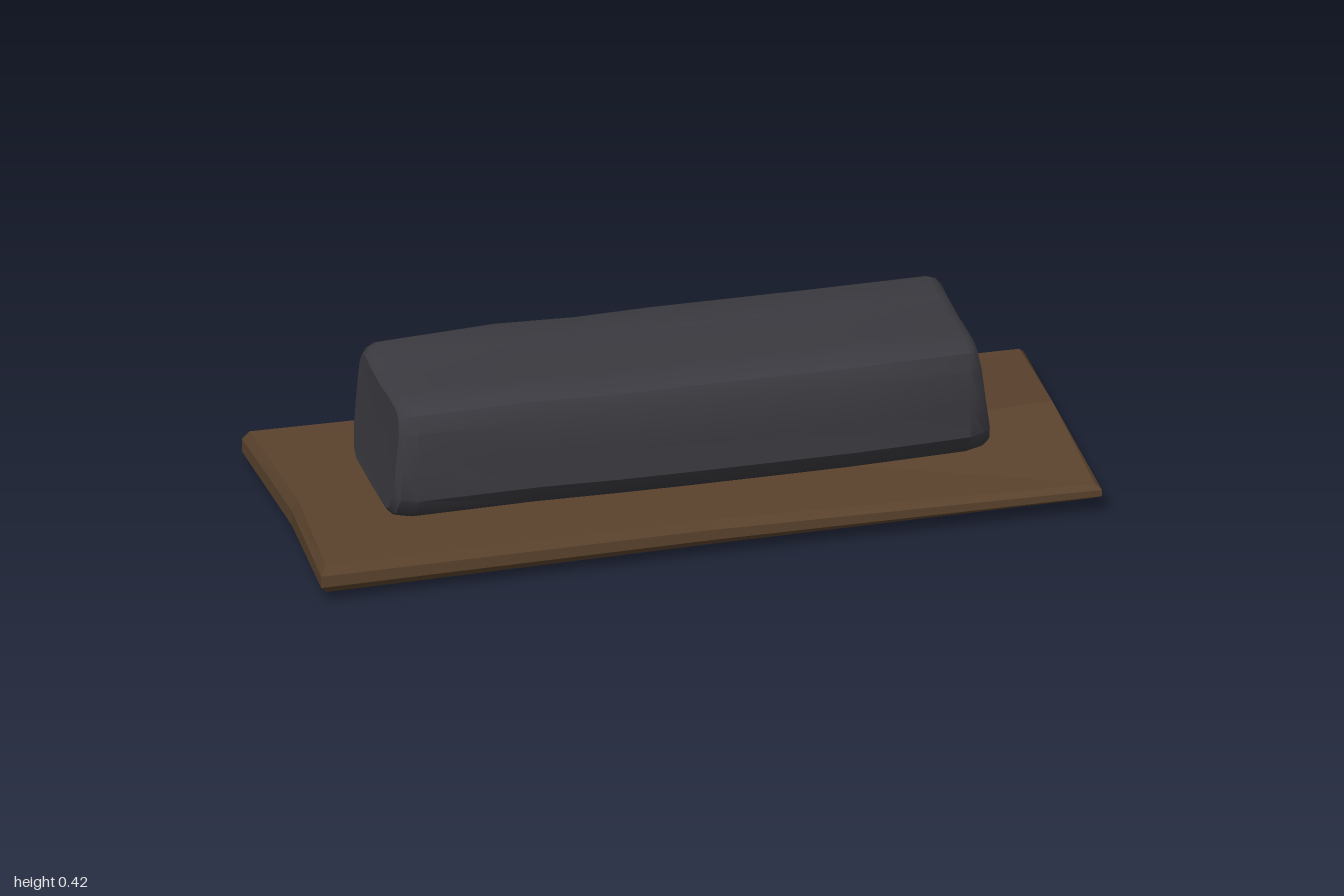
import * as THREE from 'three';
import { toCreasedNormals } from 'three/addons/utils/BufferGeometryUtils.js';

// Joins closed loops of [x, y, z] points into a solid, with a fan over each end
function loft(loops, startCentre, endCentre) {
  const pos = [];
  const tri = (a, b, c) => pos.push(...a, ...b, ...c);
  const n = loops[0].length, last = loops.length - 1;
  for (let i = 0; i < n; i++) {
    const j = (i + 1) % n;
    for (let k = 0; k < last; k++) {
      const a = loops[k], b = loops[k + 1];
      tri(a[i], a[j], b[j]);
      tri(a[i], b[j], b[i]);
    }
    tri(startCentre, loops[0][j], loops[0][i]);
    tri(endCentre, loops[last][i], loops[last][j]);
  }
  const geo = new THREE.BufferGeometry();
  geo.setAttribute('position', new THREE.Float32BufferAttribute(pos, 3));
  geo.computeVertexNormals();
  return geo;
}

export function createModel() {
  const group = new THREE.Group();
  const wood = new THREE.MeshStandardMaterial({ color: 0x5a422d, flatShading: true });
  wood.name = 'brown wood';
  const stone = new THREE.MeshStandardMaterial({ color: 0x3a3a40 });
  stone.name = 'dark stone';

  // Warped plank: outline points as [x, z, bottom height, top height]
  const rim = [
    [-1, 0.385, 0.03, 0.108], [0, 0.38, 0.035, 0.105], [0.99, 0.395, 0.045, 0.088],
    [0.98, 0, 0.03, 0.13], [0.995, -0.395, 0.028, 0.085], [0, -0.375, 0.035, 0.105],
    [-1, -0.395, 0.02, 0.108], [-0.975, 0, 0.003, 0.104],
  ];
  // Level up the edge and inset from the outline
  const levels = [[0, 0.02], [0.3, 0], [0.7, 0], [1, 0.015]];
  const plankLoops = levels.map(([t, inset]) => rim.map(([x, z, lo, hi]) => [
    x - Math.sign(x) * inset, lo + (hi - lo) * t, z - Math.sign(z) * inset,
  ]));
  const plank = new THREE.Mesh(loft(plankLoops, [0, 0.033, 0], [0, 0.11, 0]), wood);
  plank.name = 'basePlank';
  group.add(plank);

  // Worn block: cross-section as [z, y], from the top back round to the front
  const section = [
    [-0.19, 0.42], [-0.1, 0.413], [0, 0.412], [0.1, 0.42], [0.18, 0.42],
    [0.215, 0.403], [0.235, 0.36], [0.232, 0.26], [0.235, 0.175], [0.2, 0.122], [0.17, 0.104],
    [0, 0.1], [-0.18, 0.1], [-0.21, 0.115], [-0.235, 0.17], [-0.24, 0.26], [-0.24, 0.37], [-0.225, 0.403],
  ];
  // Stations along the block: x, scale, back scale, front scale, lift, end skew
  const stations = [
    [-0.76, 0.87, 0.95, 0.95, 0, 0.012], [-0.745, 0.95, 0.94, 0.95, 0, 0.012],
    [-0.71, 1, 0.94, 0.95, 0, 0], [-0.4, 1, 1, 0.98, 0.005, 0],
    [-0.2, 0.99, 1, 1, 0, 0], [0, 1, 1, 1, 0, 0], [0.4, 0.99, 1.02, 1, -0.003, 0],
    [0.7, 0.98, 1.04, 0.97, -0.003, 0], [0.73, 0.95, 1.04, 0.95, -0.002, -0.015],
    [0.745, 0.88, 1.04, 0.96, -0.002, -0.018],
  ];
  const blockLoops = stations.map(([x, s, back, front, lift, skew]) => section.map(([z, y]) => [
    x + skew * (y - 0.26) / 0.16,
    0.26 + (y - 0.26) * s + lift,
    z * s * (z < 0 ? back : front),
  ]));
  const blockGeo = loft(blockLoops, [-0.755, 0.26, 0], [0.728, 0.26, 0]);
  const block = new THREE.Mesh(toCreasedNormals(blockGeo, 0.6), stone);
  block.name = 'stoneBlock';
  group.add(block);

  return group;
}
